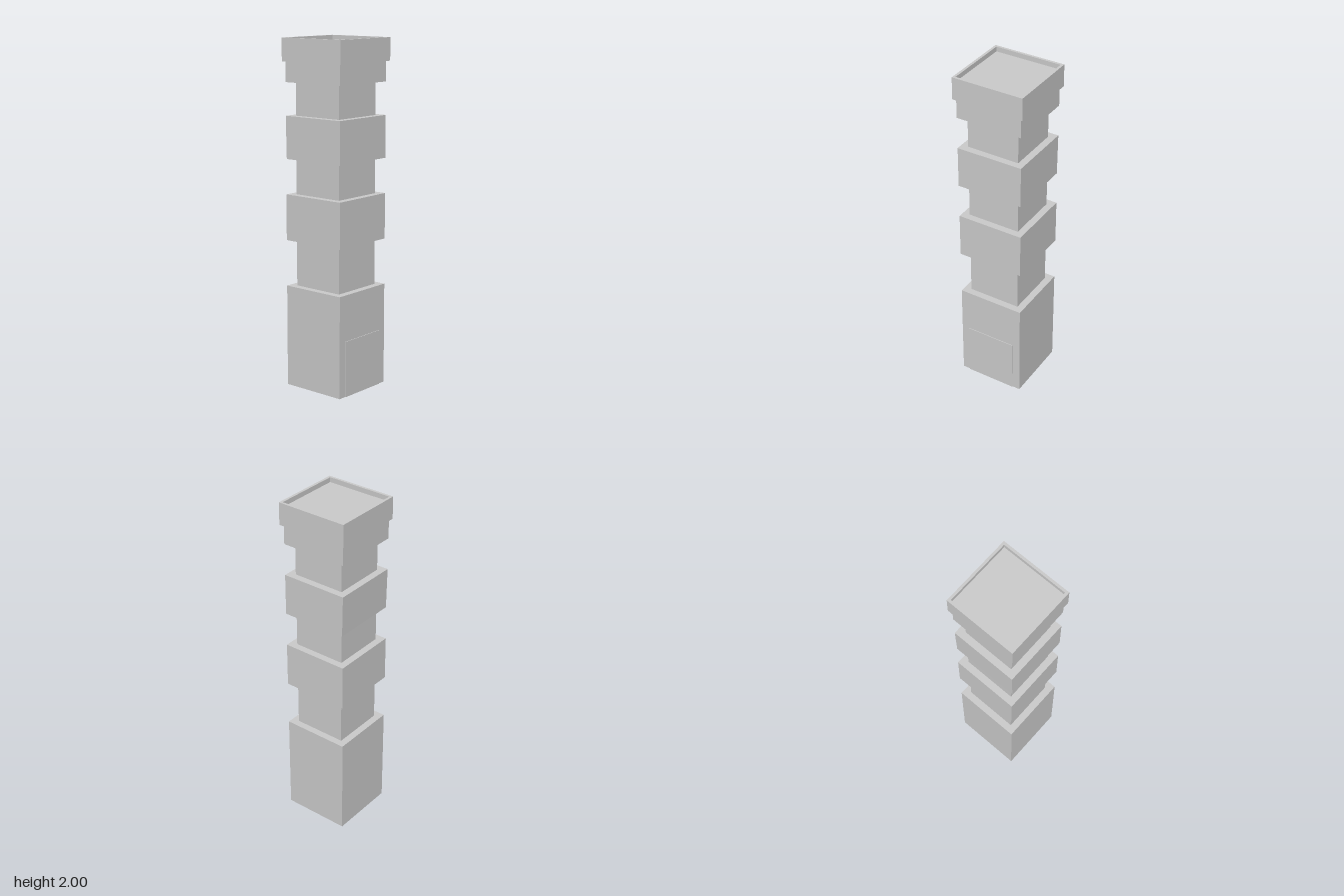
import * as THREE from 'three';

const material = new THREE.MeshStandardMaterial({ color: 0xcccccc, flatShading: true, side: THREE.DoubleSide });
const CX = -0.0015, CZ = -0.001; // the shaft sits slightly off the cap's centre
const BODY = 0.198, NECK = 0.157, CAP = 0.213;

// Square shell swept from a [half width, height] profile
function squareShell(name, profile, x = CX, z = CZ) {
  const points = profile.map(([half, y]) => new THREE.Vector2(half * Math.SQRT2, y));
  const geometry = new THREE.LatheGeometry(points, 4, Math.PI / 4).toNonIndexed();
  geometry.translate(x, 0, z);
  geometry.computeVertexNormals();
  const mesh = new THREE.Mesh(geometry, material);
  mesh.name = name;
  return mesh;
}

// Flat rectangle, turned then placed
function panel(name, w, h, x, y, z, rx = 0, ry = 0) {
  const mesh = new THREE.Mesh(new THREE.PlaneGeometry(w, h), material);
  mesh.rotation.set(rx, ry, 0);
  mesh.position.set(x, y, z);
  mesh.name = name;
  return mesh;
}

// Hollow base: three plain walls, and a front wall cut out for the door
function createBase(height) {
  const base = new THREE.Group();
  base.name = 'base';
  const side = BODY * 2, mid = height / 2, front = CZ + BODY;
  base.add(
    panel('backWall', side, height, CX, mid, CZ - BODY, 0, Math.PI),
    panel('leftWall', side, height, CX + BODY, mid, CZ, 0, Math.PI / 2),
    panel('rightWall', side, height, CX - BODY, mid, CZ, 0, -Math.PI / 2)
  );

  const doorHalf = 0.152, doorTop = 0.325, depth = 0.004;
  const outline = [
    [-BODY, 0], [-doorHalf, 0], [-doorHalf, doorTop], [doorHalf, doorTop],
    [doorHalf, 0], [BODY, 0], [BODY, height], [-BODY, height]
  ].map(([x, y]) => new THREE.Vector2(x, y));
  const wall = new THREE.Mesh(new THREE.ShapeGeometry(new THREE.Shape(outline)), material);
  wall.position.set(CX, 0, front);
  wall.name = 'frontWall';
  base.add(wall);

  // Shallow door standing proud of the front wall
  const door = new THREE.Group();
  door.name = 'door';
  const zMid = front + depth / 2;
  door.add(
    panel('doorFace', doorHalf * 2, doorTop, CX, doorTop / 2, front + depth),
    panel('doorHead', doorHalf * 2, depth, CX, doorTop, zMid, -Math.PI / 2)
  );
  for (const s of [-1, 1]) {
    door.add(panel('doorEdge', depth, doorTop, CX + s * doorHalf, doorTop / 2, zMid, 0, s * Math.PI / 2));
  }
  base.add(door);

  // Ledge around the first neck
  base.add(squareShell('baseLedge', [[BODY, height], [NECK, height]]));
  return base;
}

export function createModel() {
  const model = new THREE.Group();
  model.name = 'tower';
  const baseTop = 0.592, capBottom = 1.87, top = 2;
  model.add(createBase(baseTop));

  // Narrow necks between the wide blocks
  for (const [y0, y1] of [[baseTop, 0.859], [1.123, 1.325], [1.568, 1.755]]) {
    model.add(squareShell('neck', [[NECK, y0], [NECK, y1]]));
  }

  // Wide blocks with their ledges
  model.add(squareShell('lowerBlock', [[NECK, 0.859], [BODY, 0.859], [BODY, 1.123], [NECK, 1.123]]));
  const upper = squareShell('upperBlock', [[NECK, 1.325], [BODY, 1.325], [BODY, 1.568], [NECK, 1.568]]);
  model.add(upper);
  model.add(squareShell('topBlock', [[NECK, 1.755], [BODY, 1.755], [BODY, capBottom]]));

  // The upper block's back leans in a little at the bottom
  const position = upper.geometry.attributes.position;
  for (let i = 0; i < position.count; i++) {
    if (position.getZ(i) < -0.18 && position.getY(i) < 1.4) position.setZ(i, -0.194);
  }
  upper.geometry.computeVertexNormals();

  // Cap with a thin rim around a sunken roof
  model.add(squareShell('capWall', [[BODY, capBottom], [CAP, capBottom], [CAP, top], [BODY, top]], 0, 0));
  const roofY = top - 0.028;
  model.add(squareShell('rimInside', [[BODY, top], [BODY, roofY]], 0, 0));
  model.add(panel('roof', BODY * 2, BODY * 2, 0, roofY, 0, -Math.PI / 2));
  return model;
}
